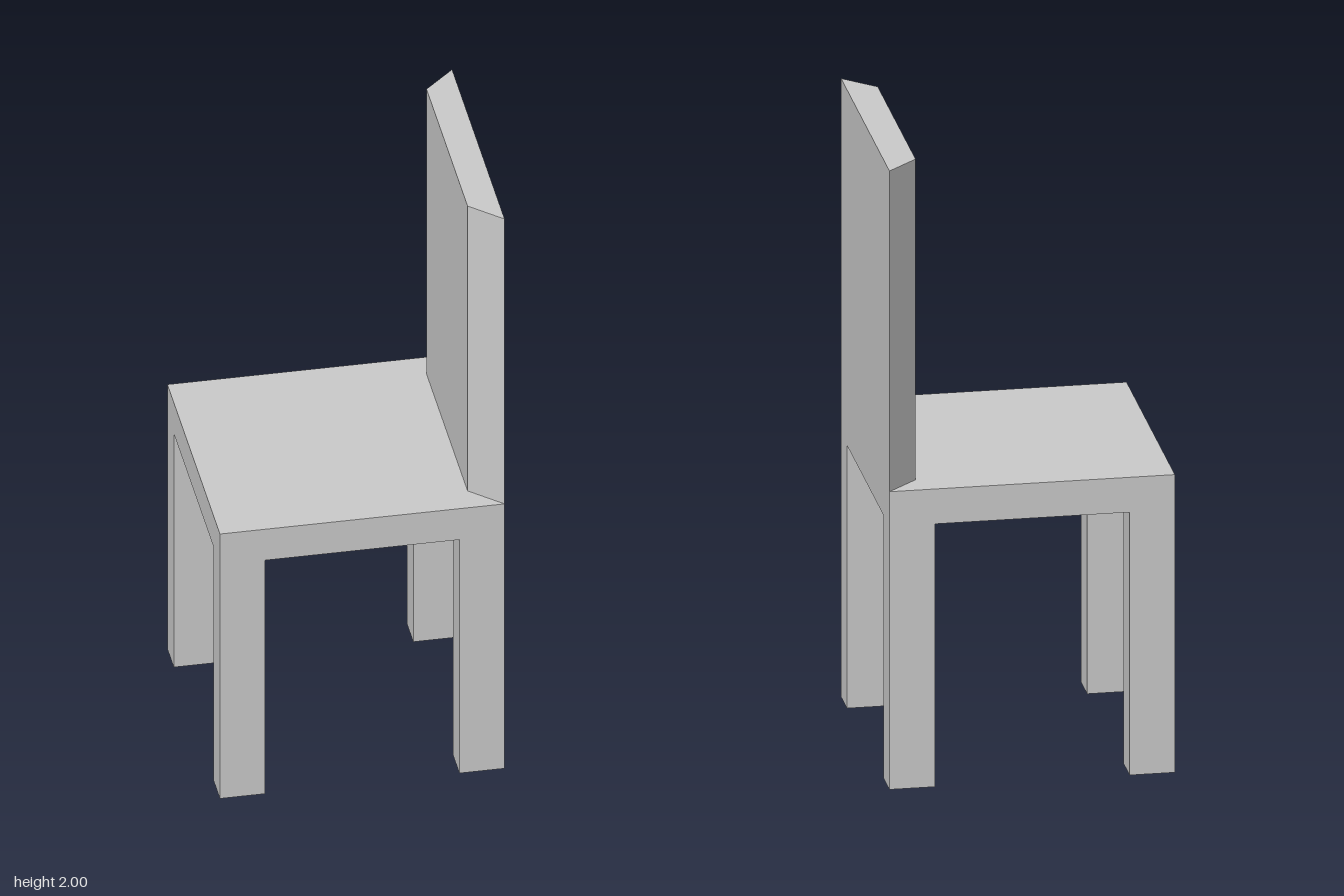
import * as THREE from 'three';

const W = 0.441, D = 0.422;            // half extents in x and z
const SEAT_BOTTOM = 0.85, SEAT_TOP = 0.963, TOP = 2;
const LEG_W = 0.14, LEG_D = 0.103;

export function createModel() {
  const group = new THREE.Group();
  const material = new THREE.MeshStandardMaterial({ color: 0xcccccc, flatShading: true });

  const add = (name, geometry, x, y, z) => {
    const mesh = new THREE.Mesh(geometry, material);
    mesh.name = name;
    mesh.position.set(x, y, z);
    group.add(mesh);
  };

  // Seat slab
  const seatHeight = SEAT_TOP - SEAT_BOTTOM;
  add('seat', new THREE.BoxGeometry(2 * W, seatHeight, 2 * D), 0, SEAT_BOTTOM + seatHeight / 2, 0);

  // Four legs, flush with the seat corners
  const leg = new THREE.BoxGeometry(LEG_W, SEAT_BOTTOM, LEG_D);
  for (const sx of [-1, 1]) {
    for (const sz of [-1, 1]) {
      const name = (sz > 0 ? 'front' : 'back') + (sx > 0 ? 'Left' : 'Right') + 'Leg';
      add(name, leg, sx * (W - LEG_W / 2), SEAT_BOTTOM / 2, sz * (D - LEG_D / 2));
    }
  }

  // Backrest: tapered footprint, narrower toward the sitter, pulled upward
  const footprint = new THREE.Shape([
    new THREE.Vector2(W, -D),
    new THREE.Vector2(W, D),
    new THREE.Vector2(0.344, 0.33),
    new THREE.Vector2(0.344, -0.33),
  ]);
  const back = new THREE.ExtrudeGeometry(footprint, { depth: TOP - SEAT_TOP, bevelEnabled: false });
  back.rotateX(-Math.PI / 2);
  add('backrest', back, 0, SEAT_TOP, 0);

  return group;
}
